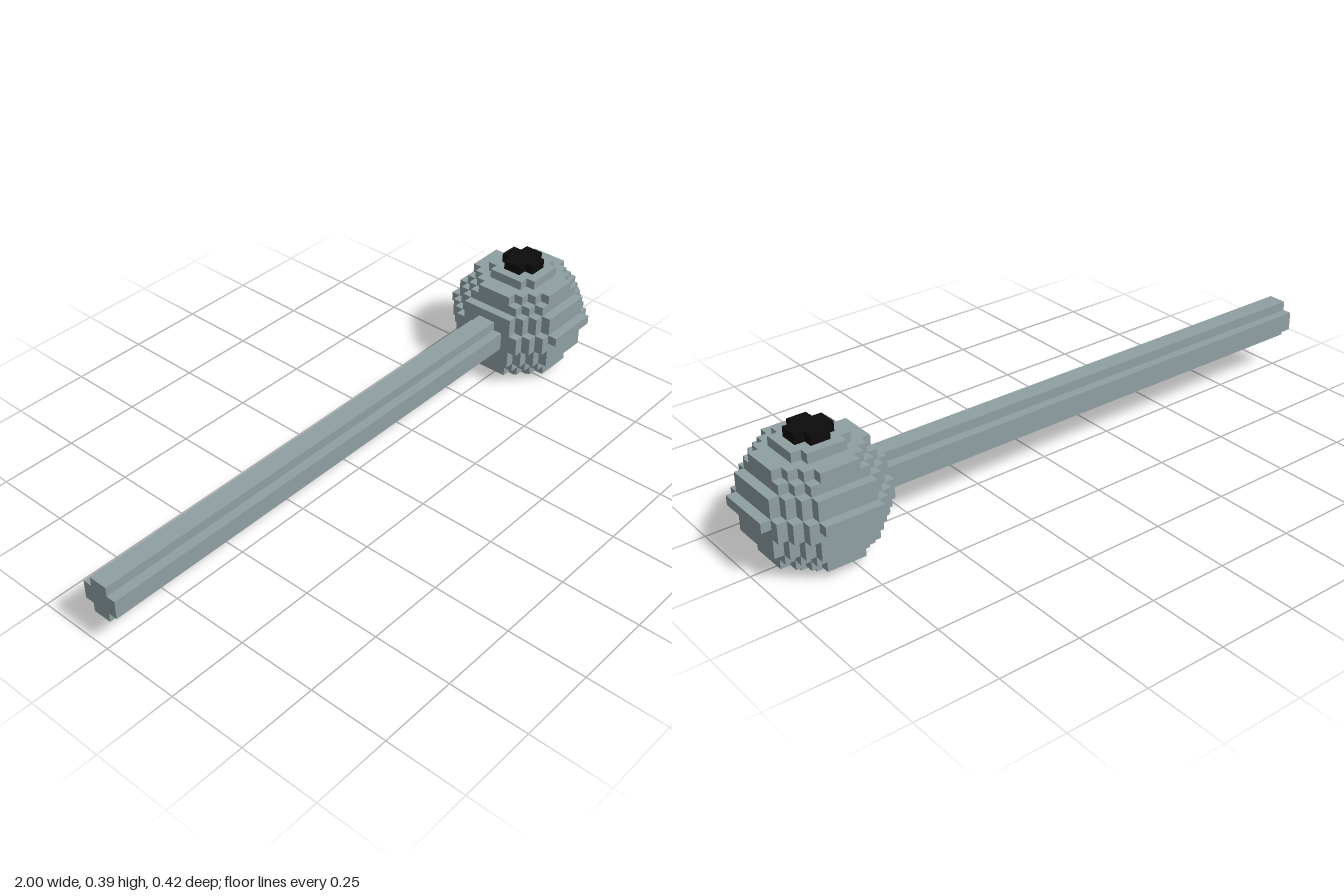
import * as THREE from 'three';

const U = 2 / 67; // size of one cube step
const CX = 0.5 * 67 - 7; // ball centre along x, in steps
const CY = 6; // ball centre height, in steps

// Stepped disc: rows[k] is the half width of row k, repeated in four quadrants
function steppedPrism(rows, depth) {
  const pts = [];
  for (let q = 0; q < 4; q++) {
    rows.forEach((e, k) => {
      for (const [a, b] of [[e, k], [e, k + 1]]) {
        let x = a, y = b;
        for (let i = 0; i < q; i++) [x, y] = [-y, x];
        pts.push(new THREE.Vector2(x * U, y * U));
      }
    });
  }
  // drop repeated corners
  const clean = pts.filter((p, i) => p.distanceTo(pts[(i + 1) % pts.length]) > 1e-6);
  return new THREE.ExtrudeGeometry(new THREE.Shape(clean), { depth: depth * U, bevelEnabled: false });
}

export function createModel() {
  const grey = new THREE.MeshStandardMaterial({ color: 0x8f9fa3 });
  grey.name = 'steel grey';
  const black = new THREE.MeshStandardMaterial({ color: 0x0c0c0c });
  black.name = 'black';

  const model = new THREE.Group();
  model.name = 'ballOnHandle';
  const add = (parent, name, geo, mat, x, y, z) => {
    const mesh = new THREE.Mesh(geo, mat);
    mesh.name = name;
    mesh.position.set(x * U, y * U, z * U);
    parent.add(mesh);
  };

  // Ball: stacked stepped discs, [bottom, thickness, rows]
  const ball = new THREE.Group();
  ball.name = 'ball';
  model.add(ball);
  const cap = [3, 3, 2], upper = [5, 5, 4, 3, 2], shoulder = [5, 5, 5, 4, 3];
  const wide = [6, 6, 6, 5, 4, 3], middle = [6, 6, 6, 6, 5, 4];
  const layers = [
    [0, 1, cap], [1, 1, upper], [2, 1, shoulder], [3, 2, wide], [5, 2, middle],
    [7, 2, wide], [9, 1, shoulder], [10, 1, upper], [11, 1, cap],
  ];
  for (const [y, t, rows] of layers) {
    add(ball, 'ballLayer', steppedPrism(rows, t).rotateX(-Math.PI / 2), grey, CX, y, 0);
  }

  // Ridges on the front, back and outer end of the ball
  for (const s of [1, -1]) {
    add(model, 'sideRidge', new THREE.BoxGeometry(6 * U, U, U), grey, CX, CY + 0.5, s * 6.5);
  }
  add(model, 'endRidge', new THREE.BoxGeometry(U, U, 6 * U), grey, CX + 6.5, CY + 0.5, 0);

  // Black stub on top
  add(model, 'topStub', steppedPrism([2, 1], 1).rotateX(-Math.PI / 2), black, CX, 12, 0);

  // Long handle with notched corners
  add(model, 'handle', steppedPrism([2, 1], 54).rotateY(Math.PI / 2), grey, -33.5, CY, 0);

  return model;
}
